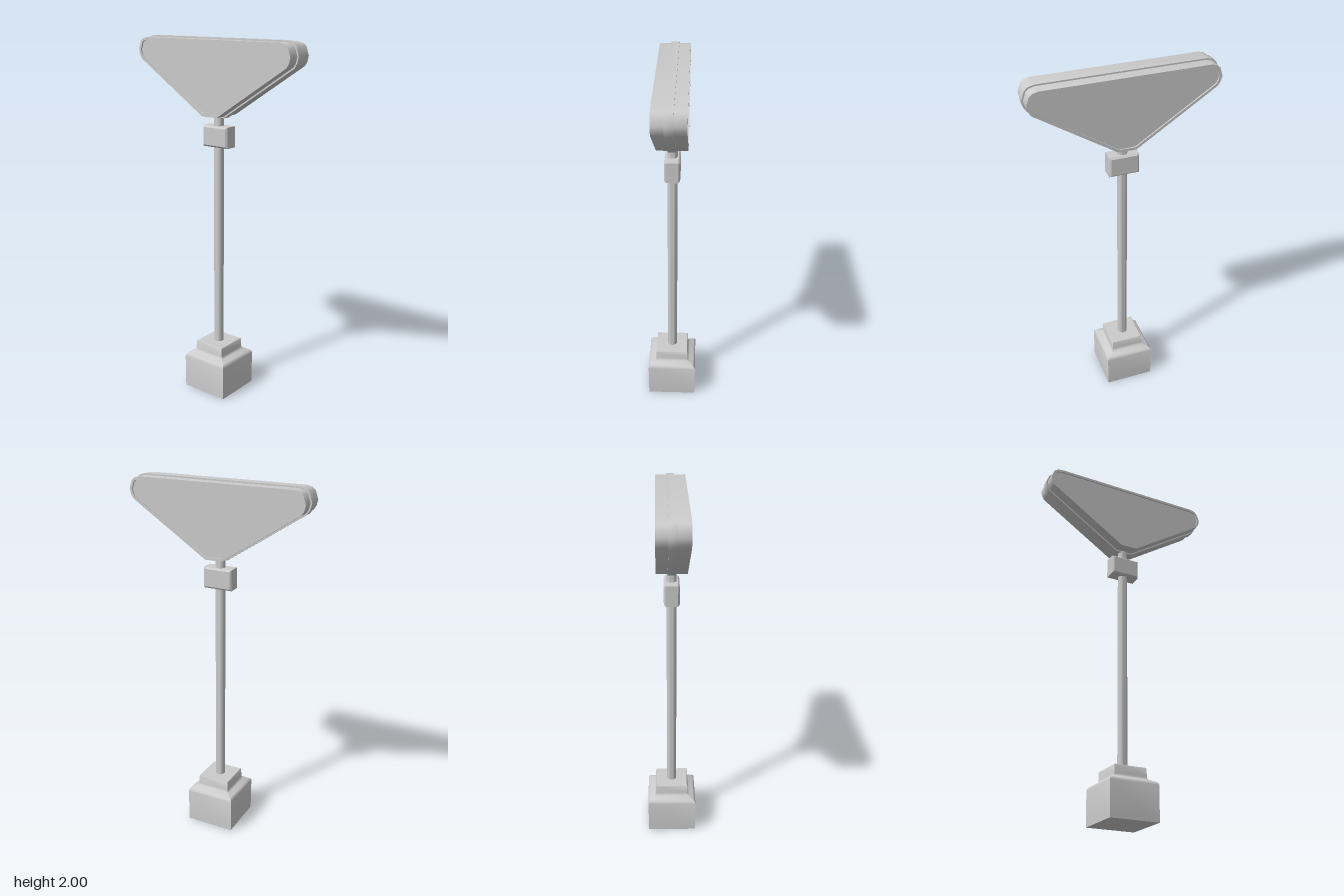
import * as THREE from 'three';
import { toCreasedNormals } from 'three/addons/utils/BufferGeometryUtils.js';

const material = new THREE.MeshStandardMaterial({ color: 0xcccccc });

function addPart(parent, name, geometry, crease = 0.7) {
  const mesh = new THREE.Mesh(toCreasedNormals(geometry, crease), material);
  mesh.name = name;
  parent.add(mesh);
  return mesh;
}

// Right half of the head's outline, from the bottom up; mirrored for the left
const half = [[0.05, 1.586], [0.482, 1.868], [0.497, 1.892], [0.505, 1.926], [0.488, 1.975], [0.468, 1.992], [0.436, 2.0]];
const outline = [...half, ...half.map(([x, y]) => [-x, y]).reverse()].map(([x, y]) => new THREE.Vector2(x, y));

// Outline moved inward by d, with mitred corners
function inset(d) {
  const n = outline.length;
  return outline.map((p, i) => {
    const a = p.clone().sub(outline[(i + n - 1) % n]).normalize();
    const b = outline[(i + 1) % n].clone().sub(p).normalize();
    const na = new THREE.Vector2(-a.y, a.x);
    const nb = new THREE.Vector2(-b.y, b.x);
    const m = na.clone().add(nb).normalize();
    return p.clone().addScaledVector(m, d / m.dot(na));
  });
}

// Plate centred on z = 0, optionally with an opening
function plate(points, depth, hole) {
  const shape = new THREE.Shape(points);
  if (hole) shape.holes.push(new THREE.Path(hole));
  return new THREE.ExtrudeGeometry(shape, { depth, bevelEnabled: false }).translate(0, 0, -depth / 2);
}

// Square block turned from a half-width / height profile
function squareTurned(profile) {
  const points = profile.map(([w, y]) => new THREE.Vector2(w * Math.SQRT2, y));
  return new THREE.LatheGeometry(points, 4, Math.PI / 4);
}

export function createModel() {
  const model = new THREE.Group();
  model.name = 'signPost';

  // Foot with a rounded shoulder and a stepped top
  addPart(model, 'base', squareTurned([
    [0, 0], [0.138, 0], [0.139, 0.19], [0.136, 0.199], [0.128, 0.207],
    [0.1, 0.221], [0.095, 0.227], [0.093, 0.235], [0.092, 0.28], [0.089, 0.284], [0, 0.284],
  ]));

  // Pole running up into the head
  addPart(model, 'pole', new THREE.CylinderGeometry(0.027, 0.027, 1.34, 20).translate(0, 0.94, 0));

  // Control box with chamfered front and back edges
  const w = 0.073, h = 0.048, bevel = 0.009;
  const boxShape = new THREE.Shape([[-w, -h], [w, -h], [w, h], [-w, h]].map(([x, y]) => new THREE.Vector2(x, y)));
  const box = new THREE.ExtrudeGeometry(boxShape, {
    depth: 0.066, bevelThickness: bevel, bevelSize: bevel, bevelSegments: 1,
  }).translate(0, 1.483, -0.033);
  addPart(model, 'controlBox', box, 0.3);

  // Triangular head: rim open at both faces, recessed panels, middle band
  const head = new THREE.Group();
  head.name = 'head';
  model.add(head);
  addPart(head, 'rim', plate(inset(0.008), 0.166, inset(0.022)));
  addPart(head, 'facePanels', plate(inset(0.021), 0.15));
  addPart(head, 'middleBand', plate(inset(0), 0.044, inset(0.012)));

  return model;
}
